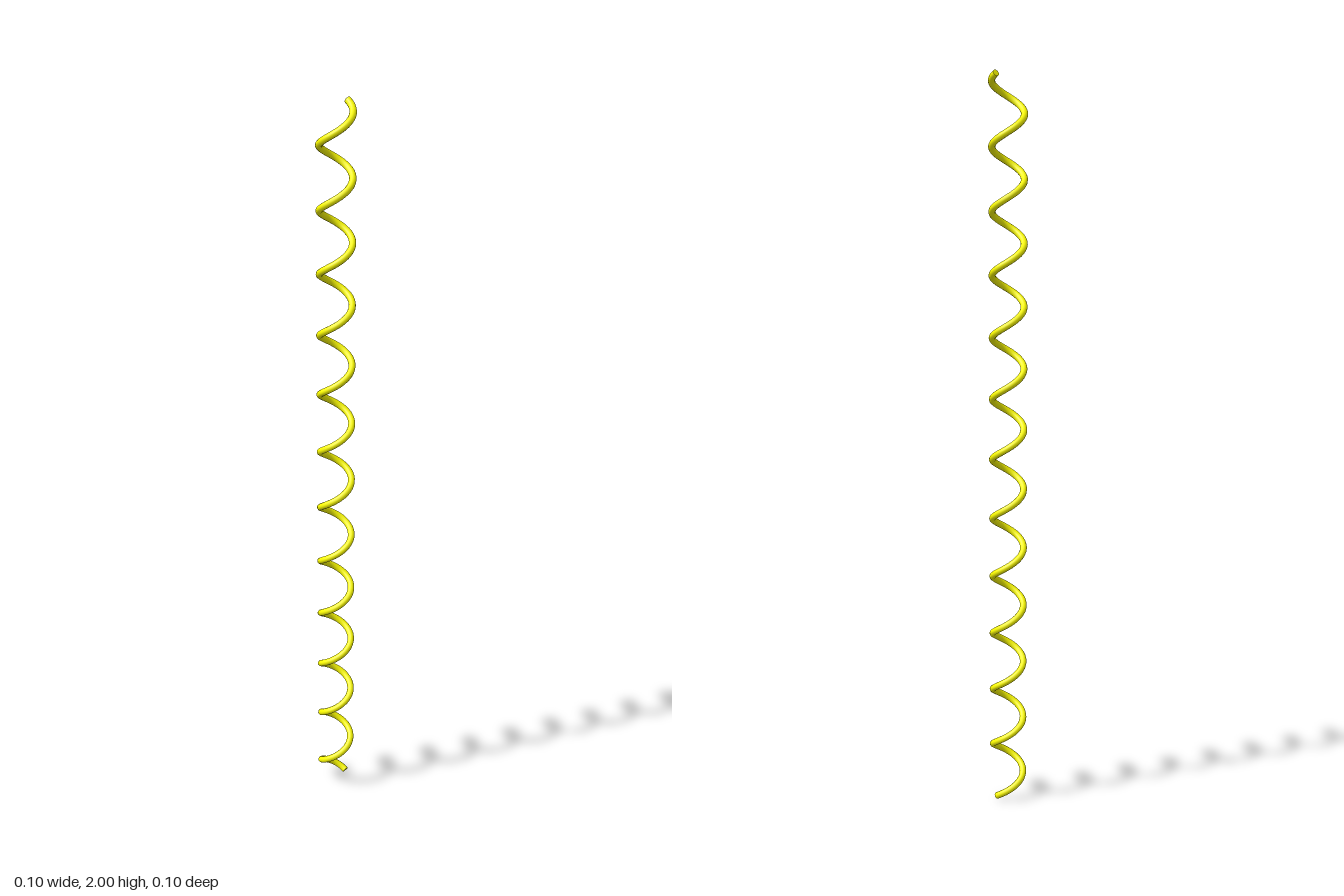
import * as THREE from 'three';

const TURNS = 12, COIL = 0.042, WIRE = 0.0092, MARGIN = 0.0078;

// Centre line of the spring, winding from +x towards -z as it rises
class Helix extends THREE.Curve {
  getPoint(t, target = new THREE.Vector3()) {
    const a = t * TURNS * Math.PI * 2;
    return target.set(COIL * Math.cos(a), MARGIN + t * (2 - 2 * MARGIN), -COIL * Math.sin(a));
  }
}

export function createModel() {
  const group = new THREE.Group();
  group.name = 'coilSpring';
  const material = new THREE.MeshStandardMaterial({ color: 0xffff00, side: THREE.DoubleSide });
  const path = new Helix();

  // Wire
  const wire = new THREE.Mesh(new THREE.TubeGeometry(path, TURNS * 32, WIRE, 12, false), material);
  wire.name = 'wire';
  group.add(wire);

  // Flat caps on both wire ends
  for (const [name, t, dir] of [['bottomCap', 0, -1], ['topCap', 1, 1]]) {
    const cap = new THREE.Mesh(new THREE.CircleGeometry(WIRE, 12), material);
    cap.name = name;
    cap.position.copy(path.getPoint(t));
    const outward = path.getTangent(t).multiplyScalar(dir);
    cap.quaternion.setFromUnitVectors(new THREE.Vector3(0, 0, 1), outward);
    group.add(cap);
  }
  return group;
}
